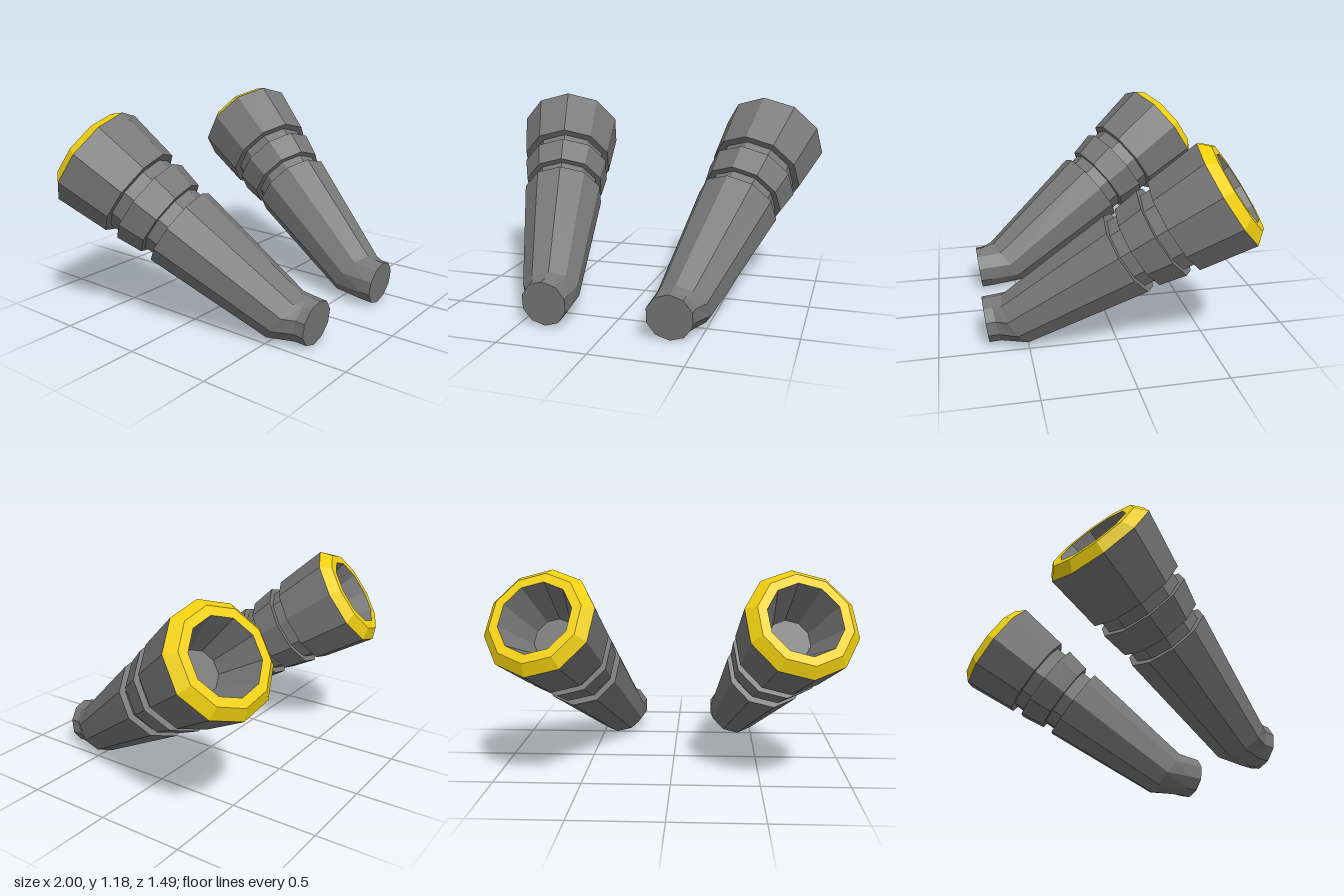
import * as THREE from 'three';

const SIDES = 10;
const ELBOW = new THREE.Vector3(0.385, 0.15, 0.55);
const MOUTH = new THREE.Vector3(0.695, 0.922, -0.543);
const AXIS = MOUTH.clone().sub(ELBOW).normalize();

// Decagonal cross-section around a centre, one corner pointing as far up as it can
function ring(center, dir, r) {
  const d = dir.clone().normalize();
  const up = new THREE.Vector3(0, 1, 0).projectOnPlane(d).normalize();
  const across = d.clone().cross(up);
  return Array.from({ length: SIDES }, (_, i) => {
    const a = (i / SIDES) * Math.PI * 2;
    return center.clone()
      .addScaledVector(up, r * Math.cos(a))
      .addScaledVector(across, r * Math.sin(a));
  });
}

// Cross-section on the main axis: t = 0 at the elbow, 1 at the mouth
const at = ([t, r]) => ring(ELBOW.clone().lerp(MOUTH, t), AXIS, r);

// Join consecutive cross-sections; side = -1 mirrors the part across x = 0
function loft(rings, side) {
  const pos = [];
  const tri = (a, b, c) => {
    const area = b.clone().sub(a).cross(c.clone().sub(a)).length();
    if (area < 1e-9) return;
    for (const p of side > 0 ? [a, b, c] : [a, c, b]) pos.push(p.x * side, p.y, p.z);
  };
  for (let k = 0; k < rings.length - 1; k++) {
    for (let i = 0; i < SIDES; i++) {
      const j = (i + 1) % SIDES;
      const [a, b, c, d] = [rings[k][i], rings[k][j], rings[k + 1][j], rings[k + 1][i]];
      tri(a, b, c);
      tri(a, c, d);
    }
  }
  const geo = new THREE.BufferGeometry();
  geo.setAttribute('position', new THREE.Float32BufferAttribute(pos, 3));
  geo.computeVertexNormals();
  return geo;
}

export function createModel() {
  const model = new THREE.Group();
  const darkGrey = new THREE.MeshStandardMaterial({ color: 0x787878, flatShading: true });
  const gold = new THREE.MeshStandardMaterial({ color: 0xf0d010, flatShading: true });

  // Bent stub with a flat closed end
  const endCenter = new THREE.Vector3(0.352, 0.135, 0.73);
  const endDir = new THREE.Vector3(0, 0.115, -0.99);
  const stub = [
    ring(endCenter, endDir, 0),
    ring(endCenter, endDir, 0.131),
    ring(new THREE.Vector3(0.354, 0.141, 0.668), new THREE.Vector3(0.03, 0.2, -0.98), 0.133),
    at([0, 0.161]),
  ];

  // [position along axis, radius] profiles; steps are square to the axis
  const barrel = [[0, 0.161], [0.547, 0.244], [0.547, 0.207]];
  const frontGroove = [[0.547, 0.207], [0.6, 0.21]];
  const collar = [[0.6, 0.21], [0.6, 0.243], [0.711, 0.27], [0.711, 0.235]];
  const rearGroove = [[0.711, 0.235], [0.766, 0.238]];
  const bell = [[0.766, 0.238], [0.766, 0.279], [1, 0.318]];
  const rim = [[1, 0.318], [1.04, 0.264], [1.04, 0.211]];
  const bore = [[1.04, 0.211], [0.845, 0.124], [0.845, 0]];

  for (const side of [1, -1]) {
    const pipe = new THREE.Group();
    pipe.name = side > 0 ? 'leftPipe' : 'rightPipe';
    const add = (name, rings, material) => {
      const mesh = new THREE.Mesh(loft(rings, side), material);
      mesh.name = name;
      pipe.add(mesh);
    };
    add('bentStub', stub, darkGrey);
    add('barrel', barrel.map(at), darkGrey);
    add('frontGroove', frontGroove.map(at), darkGrey);
    add('collar', collar.map(at), darkGrey);
    add('rearGroove', rearGroove.map(at), darkGrey);
    add('bell', bell.map(at), darkGrey);
    add('rim', rim.map(at), gold);
    add('bore', bore.map(at), darkGrey);
    model.add(pipe);
  }
  return model;
}
